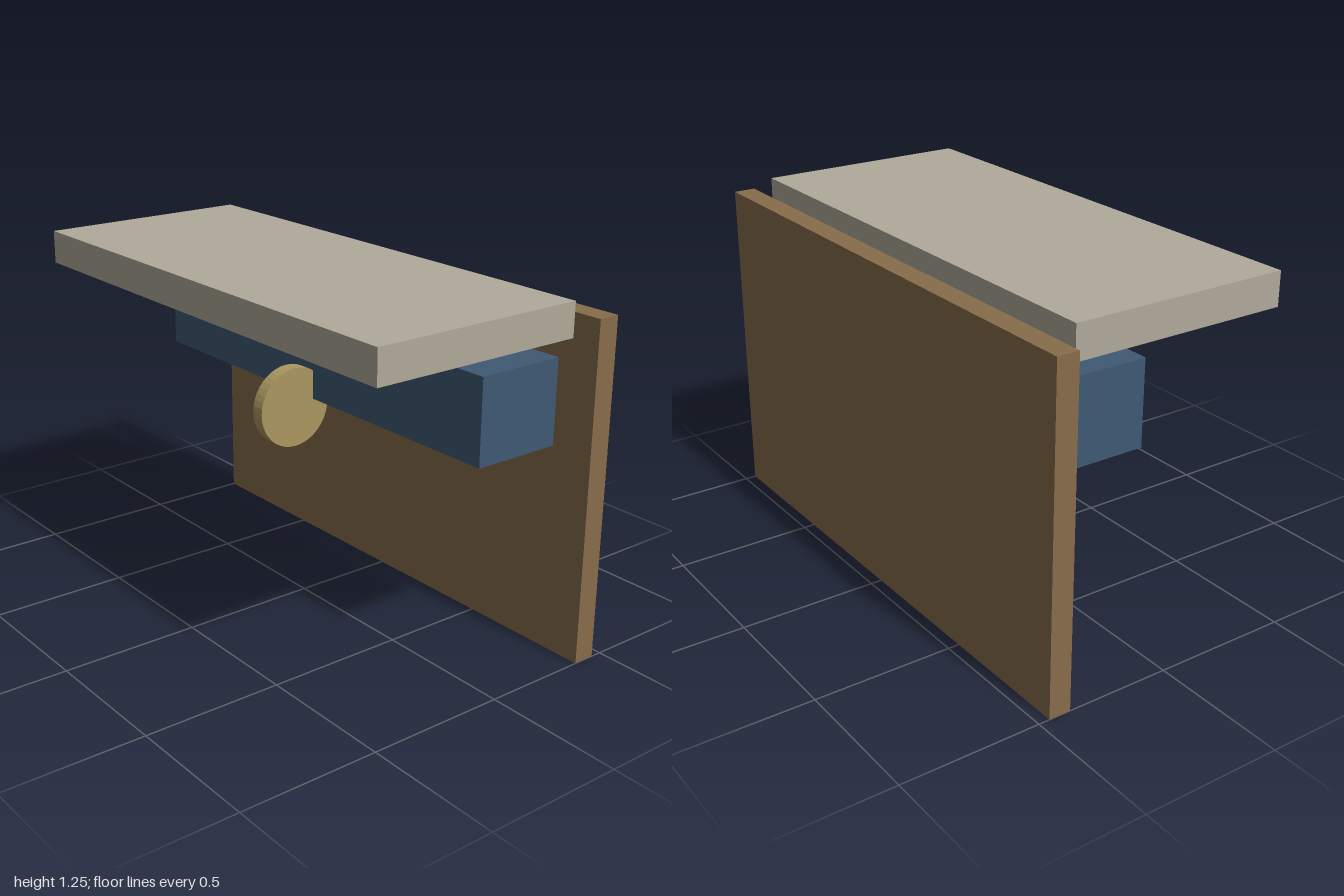
import * as THREE from 'three';

const material = (color) => new THREE.MeshStandardMaterial({ color, flatShading: true });

// Box given by its [min, max] range on each axis
function box(name, [x0, x1], [y0, y1], [z0, z1], mat) {
  const mesh = new THREE.Mesh(new THREE.BoxGeometry(x1 - x0, y1 - y0, z1 - z0), mat);
  mesh.name = name;
  mesh.position.set((x0 + x1) / 2, (y0 + y1) / 2, (z0 + z1) / 2);
  return mesh;
}

export function createModel() {
  const model = new THREE.Group();
  model.name = 'wallCanopy';

  const wood = material(0x876c4b);
  const stone = material(0xb0aa9a);
  const navy = material(0x3f5973);
  const glass = material(0x6fa1b5);
  const brass = material(0xab9760);

  // Upright back panel and the slab overhanging in front of it
  model.add(box('backPanel', [-1, 1], [0, 1.2], [-0.46, -0.38], wood));
  model.add(box('topSlab', [-0.93, 0.93], [1.13, 1.25], [-0.34, 0.46], stone));

  // Long housing below the slab
  model.add(box('housing', [-0.865, 0.865], [0.75, 1.05], [-0.35, -0.02], navy));

  // Three thin panels under the slab
  for (const x of [-0.6, 0, 0.6]) {
    model.add(box('undersidePanel', [x - 0.25, x + 0.25], [1.1, 1.13], [0.015, 0.345], glass));
  }

  // Upright disc set into the front of the housing
  const disc = new THREE.Mesh(new THREE.CylinderGeometry(0.145, 0.145, 0.05, 40), brass);
  disc.name = 'disc';
  disc.rotation.z = Math.PI / 2;
  disc.position.set(0, 0.735, 0.06);
  model.add(disc);

  return model;
}
